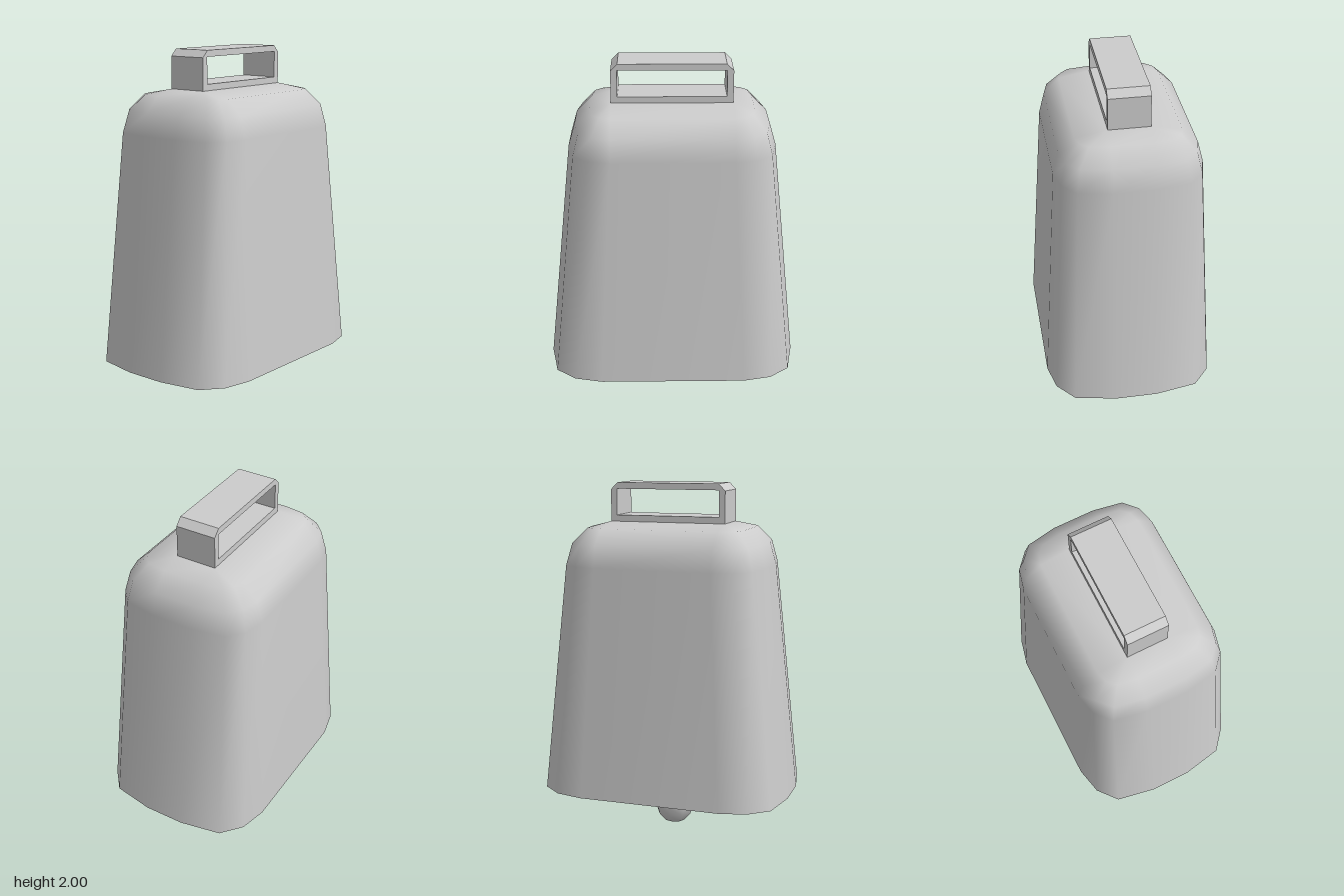
import * as THREE from 'three';
import { mergeVertices } from 'three/addons/utils/BufferGeometryUtils.js';

const grey = new THREE.MeshStandardMaterial({ color: 0xcccccc });

function addMesh(parent, name, geometry) {
  const mesh = new THREE.Mesh(geometry, grey);
  mesh.name = name;
  parent.add(mesh);
  return mesh;
}

// One quarter of a corner: fractions of the corner reach in x and z
const CORNER = [[1, 0], [0.86, 0.64], [0.5, 0.9], [0, 1]];

// Rounded rectangle at height y: a core (cx, cz) plus rounded corners reaching rx, rz
function ring({ y, cx, cz, rx, rz, dz = 0 }) {
  const quarter = CORNER.map(([u, v]) => [cx + rx * u, cz + rz * v]);
  const points = [];
  [[1, 1], [-1, 1], [-1, -1], [1, -1]].forEach(([sx, sz], q) => {
    const part = q % 2 ? [...quarter].reverse() : quarter;
    part.forEach(([x, z]) => points.push([x * sx, y, z * sz + dz]));
  });
  return points;
}

// Skin over a list of rings, with smooth normals
function loft(sections) {
  const rings = sections.map(ring);
  const n = rings[0].length;
  const index = [];
  for (let i = 0; i < rings.length - 1; i++) {
    for (let j = 0; j < n; j++) {
      const a = i * n + j, c = i * n + (j + 1) % n;
      index.push(a, a + n, c, c, a + n, c + n);
    }
  }
  const geometry = new THREE.BufferGeometry();
  geometry.setAttribute('position', new THREE.Float32BufferAttribute(rings.flat(2), 3));
  geometry.setIndex(index);
  const merged = mergeVertices(geometry);
  merged.computeVertexNormals();
  return merged;
}

export function createModel() {
  const model = new THREE.Group();
  model.name = 'cowbell';

  // Bell: outer skin, inner skin and the flat rim joining them
  const bell = new THREE.Group();
  bell.name = 'bell';
  model.add(bell);
  const top = { cx: 0.33, cz: 0.115, dz: -0.008 };
  const outer = [
    { y: 0.26, cx: 0.4, cz: 0.115, rx: 0.307, rz: 0.359 },
    { ...top, y: 1.55, rx: 0.235, rz: 0.283 },
    { ...top, y: 1.67, rx: 0.2, rz: 0.252 },
    { ...top, y: 1.755, rx: 0.115, rz: 0.166 },
    { ...top, y: 1.785, rx: 0, rz: 0 },
    { ...top, y: 1.785, cx: 0, cz: 0, rx: 0, rz: 0 },
  ];
  const wall = 0.06;
  const inner = outer.map((s, i) => ({
    ...s,
    y: i === 0 ? s.y : s.y - wall * (i < 3 ? 0.5 : 1),
    rx: Math.max(0, s.rx - wall),
    rz: Math.max(0, s.rz - wall),
  })).reverse();
  addMesh(bell, 'outerShell', loft(outer));
  addMesh(bell, 'innerShell', loft(inner));
  addMesh(bell, 'rim', loft([inner[inner.length - 1], outer[0]]));

  // Handle: chamfered strap with a rectangular opening
  const strap = new THREE.Shape([
    [-0.33, 1.775], [0.33, 1.775], [0.33, 1.962], [0.292, 2], [-0.292, 2], [-0.33, 1.962],
  ].map(([x, y]) => new THREE.Vector2(x, y)));
  strap.holes.push(new THREE.Path([
    [-0.295, 1.82], [-0.295, 1.965], [0.295, 1.965], [0.295, 1.82],
  ].map(([x, y]) => new THREE.Vector2(x, y))));
  const handle = addMesh(model, 'handle',
    new THREE.ExtrudeGeometry(strap, { depth: 0.226, bevelEnabled: false }));
  handle.position.z = -0.125;

  // Clapper: rod hanging from the roof with a rounded bulb, slightly flattened in depth
  const profile = [
    [0, 0], [0.06, 0.018], [0.1, 0.062], [0.116, 0.115], [0.112, 0.15],
    [0.094, 0.21], [0.086, 0.25], [0.086, 1.74],
  ].map(([r, y]) => new THREE.Vector2(r, y));
  const clapper = addMesh(model, 'clapper', new THREE.LatheGeometry(profile, 8));
  clapper.scale.z = 0.82;

  return model;
}
